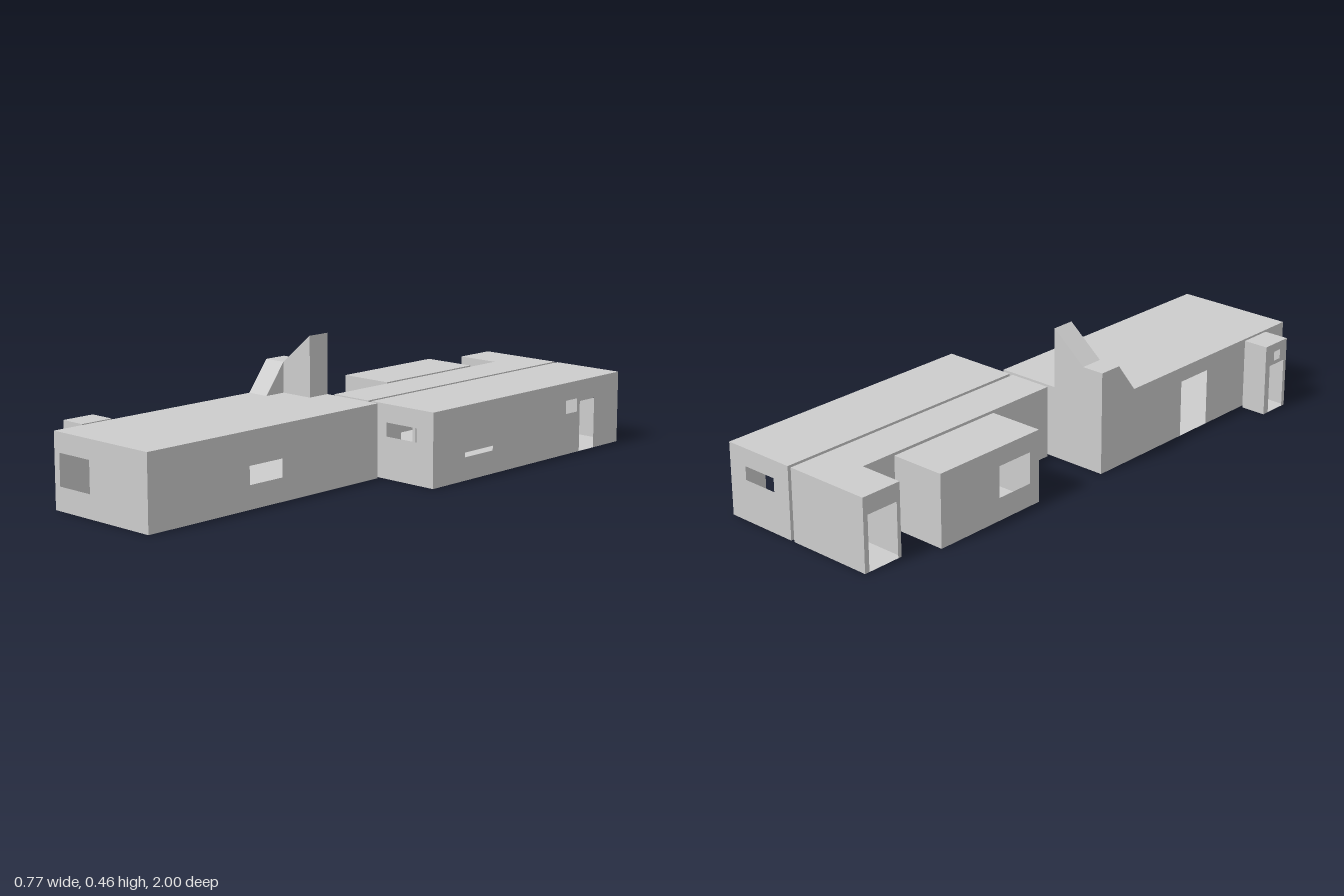
import * as THREE from 'three';

const plaster = new THREE.MeshStandardMaterial({ color: 0xcccccc, side: THREE.DoubleSide });
plaster.name = 'grey plaster';
const HEIGHT = 0.252;

function addMesh(group, name, geometry) {
  const mesh = new THREE.Mesh(geometry, plaster);
  mesh.name = name;
  group.add(mesh);
  return mesh;
}

// Thin wall from a to b; openings are [from, to, bottom, top] along world x or z.
function addWall(group, a, b, height, openings) {
  const dx = b[0] - a[0], dz = b[1] - a[1];
  const start = Math.abs(dx) > Math.abs(dz) ? a[0] : a[1];
  const cuts = openings.map(([p, q, y0, y1]) => {
    const u = [Math.abs(p - start), Math.abs(q - start)].sort((m, n) => m - n);
    return [u[0], u[1], y0, y1];
  }).sort((m, n) => m[0] - n[0]);
  const shape = new THREE.Shape();
  shape.moveTo(0, 0);
  for (const [u0, u1, y0, y1] of cuts) {
    if (y0 === 0) { // doors notch the lower edge
      shape.lineTo(u0, 0);
      shape.lineTo(u0, y1);
      shape.lineTo(u1, y1);
      shape.lineTo(u1, 0);
    } else { // windows are holes
      shape.holes.push(new THREE.Path([
        new THREE.Vector2(u0, y0), new THREE.Vector2(u0, y1),
        new THREE.Vector2(u1, y1), new THREE.Vector2(u1, y0)]));
    }
  }
  const length = Math.hypot(dx, dz);
  shape.lineTo(length, 0);
  shape.lineTo(length, height);
  shape.lineTo(0, height);
  const wall = addMesh(group, 'wall', new THREE.ShapeGeometry(shape));
  wall.position.set(a[0], 0, a[1]);
  wall.rotation.y = Math.atan2(-dz, dx);
}

// Hollow room over an x-z outline; openings are listed per wall, null leaves a wall out.
function room(name, outline, walls, height = HEIGHT) {
  const group = new THREE.Group();
  group.name = name;
  outline.forEach((a, i) => {
    const openings = walls[i] === undefined ? [] : walls[i];
    if (openings) addWall(group, a, outline[(i + 1) % outline.length], height, openings);
  });
  const plan = (s) => new THREE.ShapeGeometry(new THREE.Shape(outline.map(([x, z]) => new THREE.Vector2(x, s * z))));
  addMesh(group, 'floor', plan(1).rotateX(Math.PI / 2));
  addMesh(group, 'roof', plan(-1).rotateX(-Math.PI / 2).translate(0, height, 0));
  return group;
}

// Rectangle outline; wall order is front, +x side, back, -x side.
const rect = (x0, x1, z0, z1) => [[x0, z1], [x1, z1], [x1, z0], [x0, z0]];

// Solid prism from a side profile.
function prism(points, depth) {
  const shape = new THREE.Shape(points.map(([x, y]) => new THREE.Vector2(x, y)));
  return new THREE.ExtrudeGeometry(shape, { depth, bevelEnabled: false });
}

export function createModel() {
  const model = new THREE.Group();
  model.name = 'floorPlanHouse';

  // Large front hall
  model.add(room('frontHall', rect(-0.282, 0.152, 0.004, 1), {
    0: [[-0.258, -0.115, 0.079, 0.186]],
    1: [[0.443, 0.584, 0.079, 0.19]],
    2: [[-0.03, 0.062, 0, 0.18]],
    3: [[0.42, 0.562, 0, 0.2], [0.775, 0.86, 0, 0.2]],
  }));

  // Small closet beside the hall
  model.add(room('closet', rect(-0.385, -0.293, 0.76, 0.88), {
    1: [[0.775, 0.86, 0, 0.2]],
    3: [[0.785, 0.865, 0, 0.175], [0.808, 0.842, 0.188, 0.222]],
  }));

  // Long back room with windows at both ends
  const endWindow = [[0.18, 0.311, 0.143, 0.19]];
  const innerDoors = [[-0.25, -0.1, 0, 0.19], [-0.88, -0.735, 0, 0.19]];
  model.add(room('longRoom', rect(0.112, 0.383, -1, -0.01), {
    0: endWindow,
    1: [[-0.31, -0.168, 0.079, 0.19], [-0.765, -0.702, 0.143, 0.19], [-0.862, -0.78, 0, 0.178]],
    2: endWindow,
    3: innerDoors,
  }));

  // L-shaped corridor with its entrance at the back
  model.add(room('corridor',
    [[-0.058, -0.01], [0.098, -0.01], [0.098, -1], [-0.216, -1], [-0.216, -0.848], [-0.058, -0.848]], {
      0: [[-0.03, 0.062, 0, 0.18]],
      1: innerDoors,
      3: [[-0.982, -0.862, 0, 0.19]],
      5: [[-0.42, -0.345, 0, 0.18]],
    }));

  // Side room off the corridor
  model.add(room('sideRoom', rect(-0.27, -0.073, -0.73, -0.287), {
    1: [[-0.42, -0.345, 0, 0.18]],
    3: [[-0.47, -0.33, 0.079, 0.188]],
  }));

  // Short passages joining the rooms
  const alongX = { 1: null, 3: null }, alongZ = { 0: null, 2: null };
  model.add(room('closetPassage', rect(-0.293, -0.282, 0.775, 0.86), alongX, 0.2));
  model.add(room('sidePassage', rect(-0.073, -0.058, -0.42, -0.345), alongX, 0.18));
  model.add(room('hallPassage', rect(-0.03, 0.062, -0.01, 0.004), alongZ, 0.18));
  for (const [z0, z1] of innerDoors) {
    model.add(room('longRoomPassage', rect(0.098, 0.112, z0, z1), alongX, 0.19));
  }

  // Stair housing on the roof: ramp, landing, then a second rising flight
  const stairs = new THREE.Group();
  stairs.name = 'stairHousing';
  const ramp = prism([[-0.168, HEIGHT], [-0.004, HEIGHT], [-0.004, 0.357], [-0.088, 0.357]], 0.082);
  addMesh(stairs, 'rampAndLanding', ramp.rotateY(Math.PI / 2).translate(-0.282, 0, 0));
  const flight = prism([[-0.2, HEIGHT], [-0.076, HEIGHT], [-0.076, 0.46], [-0.2, 0.357]], 0.084);
  addMesh(stairs, 'upperFlight', flight.translate(0, 0, 0.004));
  model.add(stairs);

  return model;
}
